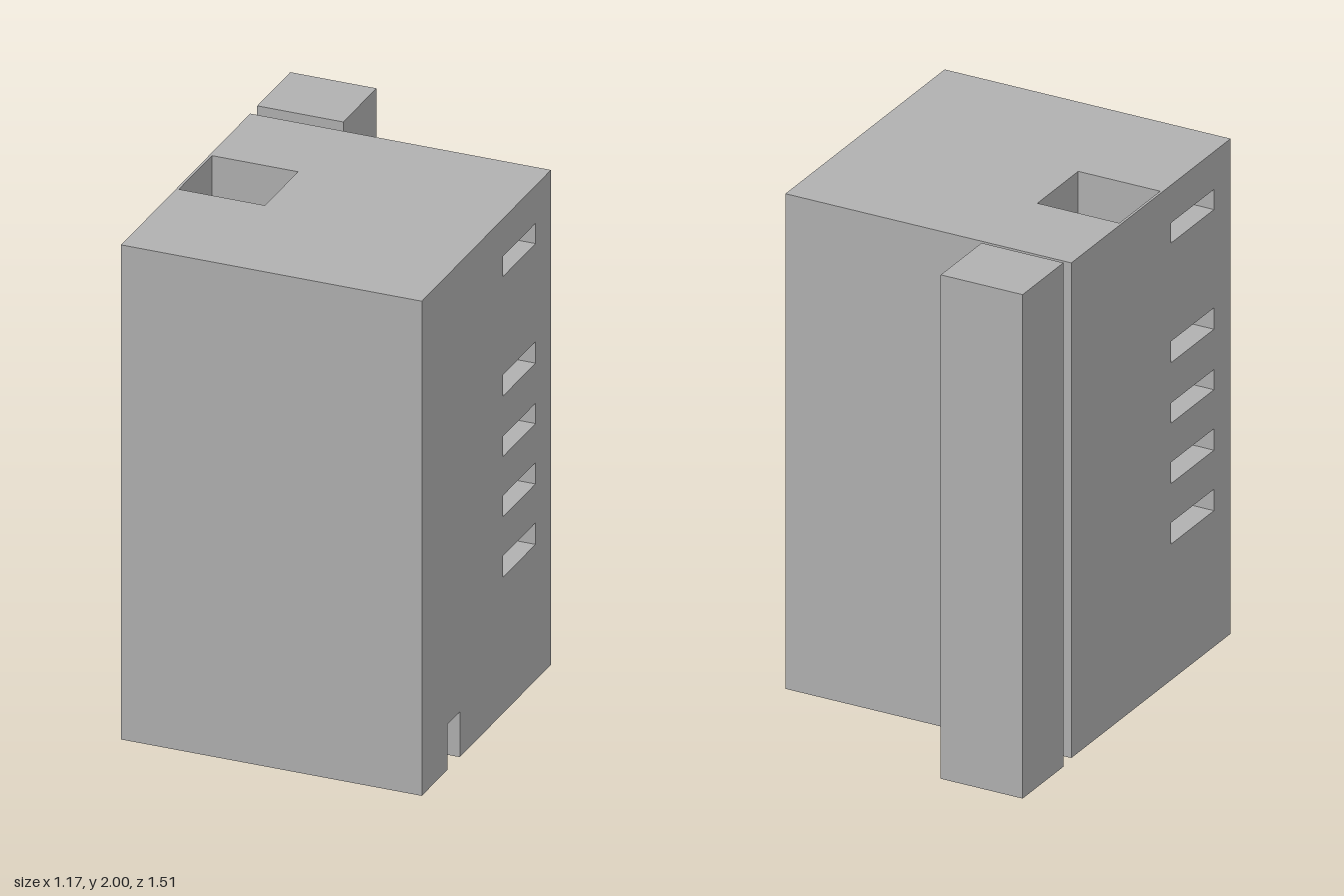
import * as THREE from 'three';

export function createModel() {
  const model = new THREE.Group();
  const grey = new THREE.MeshStandardMaterial({ color: 0xb0b0b0 });
  grey.name = 'concrete grey';

  // Horizontal layer between two heights, from [x, z] outlines and an optional hole
  const toPath = (pts) => pts.map(([x, z]) => new THREE.Vector2(x, z));
  function layer(name, y0, y1, outlines, hole) {
    for (const pts of outlines) {
      const shape = new THREE.Shape(toPath(pts));
      if (hole && pts.holed) shape.holes.push(new THREE.Path(toPath(hole)));
      const geo = new THREE.ExtrudeGeometry(shape, { depth: y1 - y0, bevelEnabled: false });
      geo.rotateX(Math.PI / 2).translate(0, y1, 0);
      const mesh = new THREE.Mesh(geo, grey);
      mesh.name = name;
      model.add(mesh);
    }
  }
  const rect = (x0, x1, z0, z1) => [[x0, z0], [x1, z0], [x1, z1], [x0, z1]];
  const holed = (pts) => Object.assign(pts, { holed: true });

  const full = holed(rect(-0.585, 0.585, -0.415, 0.755));
  const shaft = rect(-0.575, -0.24, -0.045, 0.255);

  // Ground floor: room open underneath, with a passage to the side door
  layer('groundFloor', 0.02, 0.2, [[
    [0.585, -0.415], [0.585, 0.41], [0.33, 0.41], [0.33, 0.3], [-0.575, 0.3], [-0.575, 0.745],
    [0.33, 0.745], [0.33, 0.52], [0.585, 0.52], [0.585, 0.755], [-0.585, 0.755], [-0.585, -0.415],
  ]]);
  layer('groundCeiling', 0.2, 0.3, [full]);

  // Storey walls, leaving a window gap on each side; the back part encloses the shaft
  const frontWall = [
    [0.585, 0.02], [0.585, 0.755], [-0.585, 0.755], [-0.585, 0.633],
    [-0.485, 0.633], [-0.485, 0.74], [0.485, 0.74], [0.485, 0.02],
  ];
  const backWall = holed([
    [0.585, -0.275], [0.485, -0.275], [0.485, -0.4], [-0.485, -0.4], [-0.485, -0.05],
    [-0.235, -0.05], [-0.235, 0.26], [-0.485, 0.26], [-0.485, 0.316], [-0.585, 0.316],
    [-0.585, -0.415], [0.585, -0.415],
  ]);

  // Solid floors alternate with the windowed storeys
  const storeys = [[0.56, 0.645], [0.8, 0.885], [1.04, 1.12], [1.28, 1.365], [1.755, 1.835]];
  let y = 0.3;
  storeys.forEach(([y0, y1], i) => {
    layer('floorBlock', y, y0, [full], shaft);
    layer('windowStorey', y0, y1, [frontWall, backWall], shaft);
    if (i === 1) layer('windowBlock', y0, y1, [rect(-0.485, -0.45, 0.26, 0.7)]);
    y = y1;
  });
  layer('roofBlock', y, 1.985, [full], shaft);

  // Free-standing column behind the building
  layer('rearTower', 0, 2, [rect(-0.575, -0.24, -0.755, -0.455)]);

  return model;
}
